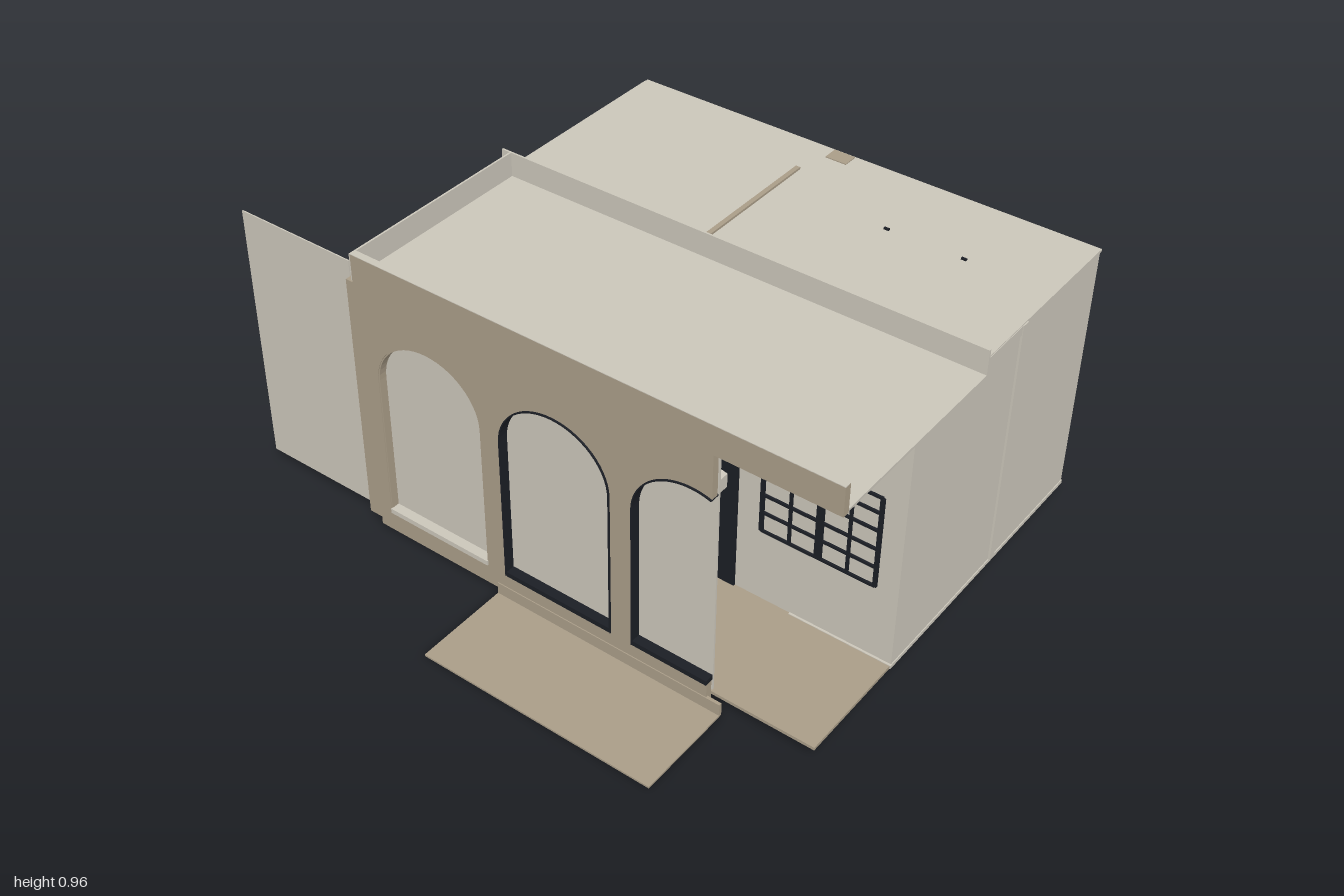
import * as THREE from 'three';

const mat = (name, color) => {
  const m = new THREE.MeshStandardMaterial({ color, side: THREE.DoubleSide });
  m.name = name;
  return m;
};

export function createModel() {
  const light = mat('pale plaster', 0xcbc6ba);
  const brown = mat('tan stone', 0xaa9d88);
  const dark = mat('dark frame', 0x1b1e25);
  const model = new THREE.Group();

  // Box given by its limits on each axis
  const box = (name, m, x0, x1, y0, y1, z0, z1, parent = model) => {
    const mesh = new THREE.Mesh(new THREE.BoxGeometry(x1 - x0, y1 - y0, z1 - z0), m);
    mesh.position.set((x0 + x1) / 2, (y0 + y1) / 2, (z0 + z1) / 2);
    mesh.name = name;
    parent.add(mesh);
    return mesh;
  };
  const group = (name) => {
    const g = new THREE.Group();
    g.name = name;
    model.add(g);
    return g;
  };
  const extrude = (name, m, shape, z0, z1) => {
    const geo = new THREE.ExtrudeGeometry(shape, { depth: z1 - z0, bevelEnabled: false });
    const mesh = new THREE.Mesh(geo, m);
    mesh.position.z = z0;
    mesh.name = name;
    model.add(mesh);
  };

  // Arch outline from lower left over the top, optionally stopped at xMax
  const SPRING = 0.57, CUT = 0.635;
  const arch = (cx, grow, xMax = 9) => {
    const r = 0.185 + grow, h = 0.17 + grow, y0 = 0.09 - Math.min(grow, 0.01);
    const pts = [new THREE.Vector2(cx - r, y0)];
    const end = cx + r > xMax ? Math.acos((xMax - cx) / r) : 0;
    for (let i = 0; i <= 28; i++) {
      const a = Math.PI + (end - Math.PI) * i / 28;
      pts.push(new THREE.Vector2(cx + r * Math.cos(a), SPRING + h * Math.sin(a)));
    }
    pts.push(new THREE.Vector2(Math.min(cx + r, xMax), y0));
    return pts;
  };
  // Band following an arch, between two offsets
  const archBand = (cx, inner, outer, xMax) => {
    const a = arch(cx, outer, xMax), b = arch(cx, inner, xMax);
    if (xMax) { a.pop(); b.pop(); }
    return new THREE.Shape([...a, ...b.reverse()]);
  };
  const arches = [[-0.303], [0.133], [0.573, CUT]];

  // Arcade front, its right end stopping inside the third arch
  const third = arch(0.573, 0, CUT);
  const V = (x, y) => new THREE.Vector2(x, y);
  const facade = new THREE.Shape([
    V(-0.53, 0.025), V(CUT, 0.025), V(CUT, 0.09), ...third.slice(0, -1),
    V(CUT, 0.87), V(1, 0.87), V(1, 0.96), V(-0.55, 0.96), V(-0.55, 0.87),
    V(-0.575, 0.87), V(-0.575, 0.05), V(-0.53, 0.05),
  ]);
  for (const [cx] of arches.slice(0, 2)) facade.holes.push(new THREE.Path(arch(cx, 0)));
  extrude('arcadeFront', brown, facade, 0.5, 0.522);

  // Panels behind the arches, with trim on both sides
  box('archPanel', light, -0.575, CUT, 0.05, 0.87, 0.488, 0.494);
  arches.forEach(([cx, xMax], i) => {
    extrude('rearArchTrim', light, archBand(cx, 0, 0.04, xMax), 0.46, 0.488);
    const m = i ? dark : brown;
    extrude('archReveal', m, archBand(cx, -0.004, 0, xMax), 0.495, i ? 0.527 : 0.52);
    box('archSill', i ? dark : light, cx - 0.183, Math.min(cx + 0.183, CUT), 0.09, 0.106, 0.495, 0.525);
  });
  box('endPost', light, -0.59, -0.578, 0.05, 0.87, 0.455, 0.49);
  box('sidePanel', light, -1, -0.592, 0.05, 0.905, 0.487, 0.491);

  // Floor, step and ground slab
  box('floor', brown, -0.59, 0.96, 0.04, 0.05, -0.83, 0.5);
  box('stepRiser', brown, -0.085, 0.68, 0.002, 0.045, 0.515, 0.525);
  box('groundSlab', brown, -0.085, 0.68, 0, 0.006, 0.522, 0.83);

  // Room walls
  box('frontWall', light, -0.59, 0.96, 0.05, 0.87, 0.12, 0.13);
  box('rightWall', light, 0.95, 0.96, 0.05, 0.87, -0.83, 0.13);
  box('wallBase', light, 0.635, 0.963, 0.04, 0.052, -0.83, 0.137);
  box('wallCornice', light, 0.955, 0.964, 0.84, 0.87, -0.39, 0.14);
  box('wallPilaster', light, 0.958, 0.966, 0.05, 0.87, -0.417, -0.39);
  box('frontCornice', light, 0.67, 0.93, 0.835, 0.845, 0.13, 0.145);

  // Left wall around a doorway near the rear
  const left = group('leftWall');
  box('leftWallMain', light, -0.6, -0.59, 0.05, 0.87, -0.65, 0.1, left);
  box('leftWallRear', light, -0.6, -0.59, 0.05, 0.87, -0.83, -0.79, left);
  box('leftWallLintel', light, -0.6, -0.59, 0.6, 0.87, -0.79, -0.65, left);
  box('doorRail', light, -0.6, -0.59, 0.3, 0.33, -0.79, -0.65, left);
  box('doorLowerPanel', light, -0.597, -0.592, 0.12, 0.3, -0.79, -0.7, left);
  box('doorJamb', light, -0.607, -0.6, 0.05, 0.62, -0.65, -0.635, left);
  box('doorHead', light, -0.607, -0.6, 0.6, 0.62, -0.79, -0.65, left);

  // Rear wall: plain half and panelled half
  box('rearPlainWall', light, -0.6, 0.1, 0.05, 0.84, -0.84, -0.832);
  box('rearPlainTop', light, -0.59, 0.12, 0.84, 0.87, -0.832, -0.82);
  box('rearPilaster', light, 0.12, 0.17, 0.05, 0.87, -0.838, -0.79);
  box('rearPanelledWall', light, 0.1, 0.96, 0.05, 0.87, -0.81, -0.8);
  const trim = group('rearPanelling');
  for (const x of [0.17, 0.44, 0.935]) box('stile', light, x, x + 0.025, 0.05, 0.87, -0.83, -0.81, trim);
  for (const [y0, y1] of [[0.05, 0.08], [0.29, 0.335], [0.8, 0.87]])
    box('rail', light, 0.17, 0.96, y0, y1, -0.83, -0.81, trim);
  for (const [x0, x1] of [[0.205, 0.43], [0.475, 0.925]])
    for (const [y0, y1] of [[0.09, 0.28], [0.345, 0.79]]) {
      for (const x of [x0, x1 - 0.008]) box('moulding', light, x, x + 0.008, y0, y1, -0.82, -0.81, trim);
      for (const y of [y0, y1 - 0.008]) box('moulding', light, x0, x1, y, y + 0.008, -0.82, -0.81, trim);
    }
  for (let i = 0; i < 26; i++)
    box('dentil', light, 0.185 + i * 0.03, 0.2 + i * 0.03, 0.815, 0.832, -0.836, -0.83, trim);
  for (let i = 0; i < 14; i++)
    box('topDentil', light, -0.45 + i * 0.038, -0.428 + i * 0.038, 0.85, 0.862, -0.838, -0.832, trim);

  // Windows and door on the front wall
  const win = group('windows');
  const bars = (xs, ys) => {
    for (const [x, w] of xs) box('upright', dark, x - w, x + w, ys[0], ys[ys.length - 1], 0.13, 0.138, win);
    for (const y of ys) box('crossbar', dark, xs[0][0], xs[xs.length - 1][0], y - 0.004, y + 0.004, 0.13, 0.137, win);
  };
  const T = 0.004;
  bars([[0.53, 0.006], [0.62, T], [0.712, 0.011], [0.803, T], [0.89, 0.006]],
    [0.3, 0.365, 0.427, 0.49, 0.55, 0.602]);
  bars([[0.53, T], [0.62, T], [0.704, T], [0.803, T], [0.89, 0.005]], [0.703, 0.8, 0.812]);
  box('frontDoor', dark, 0.25, 0.45, 0.05, 0.66, 0.13, 0.137);

  // Room roof with its slot strip and small fixings
  box('roof', light, -0.595, 0.962, 0.865, 0.873, -0.835, 0.13);
  box('roofStrip', brown, 0.063, 0.078, 0.873, 0.88, -0.68, -0.2);
  box('roofClip', brown, 0.06, 0.1, 0.873, 0.879, -0.149, -0.142);
  box('roofBlock', brown, 0.1, 0.17, 0.873, 0.876, -0.83, -0.78);
  for (const x of [0.445, 0.69]) for (const z of [-0.56, -0.105])
    box('roofFixing', dark, x - 0.008, x + 0.008, 0.873, 0.878, z - 0.004, z + 0.004);

  // Porch roof tray, open at the right end
  box('porchRoof', light, -0.55, 1, 0.873, 0.881, -0.135, 0.5);
  box('rearParapet', light, -0.585, 1, 0.873, 0.958, -0.14, -0.134);
  box('leftParapet', light, -0.556, -0.55, 0.873, 0.958, -0.134, 0.52);
  box('parapetCap', light, -0.55, 1, 0.959, 0.961, 0.5, 0.522);
  return model;
}
